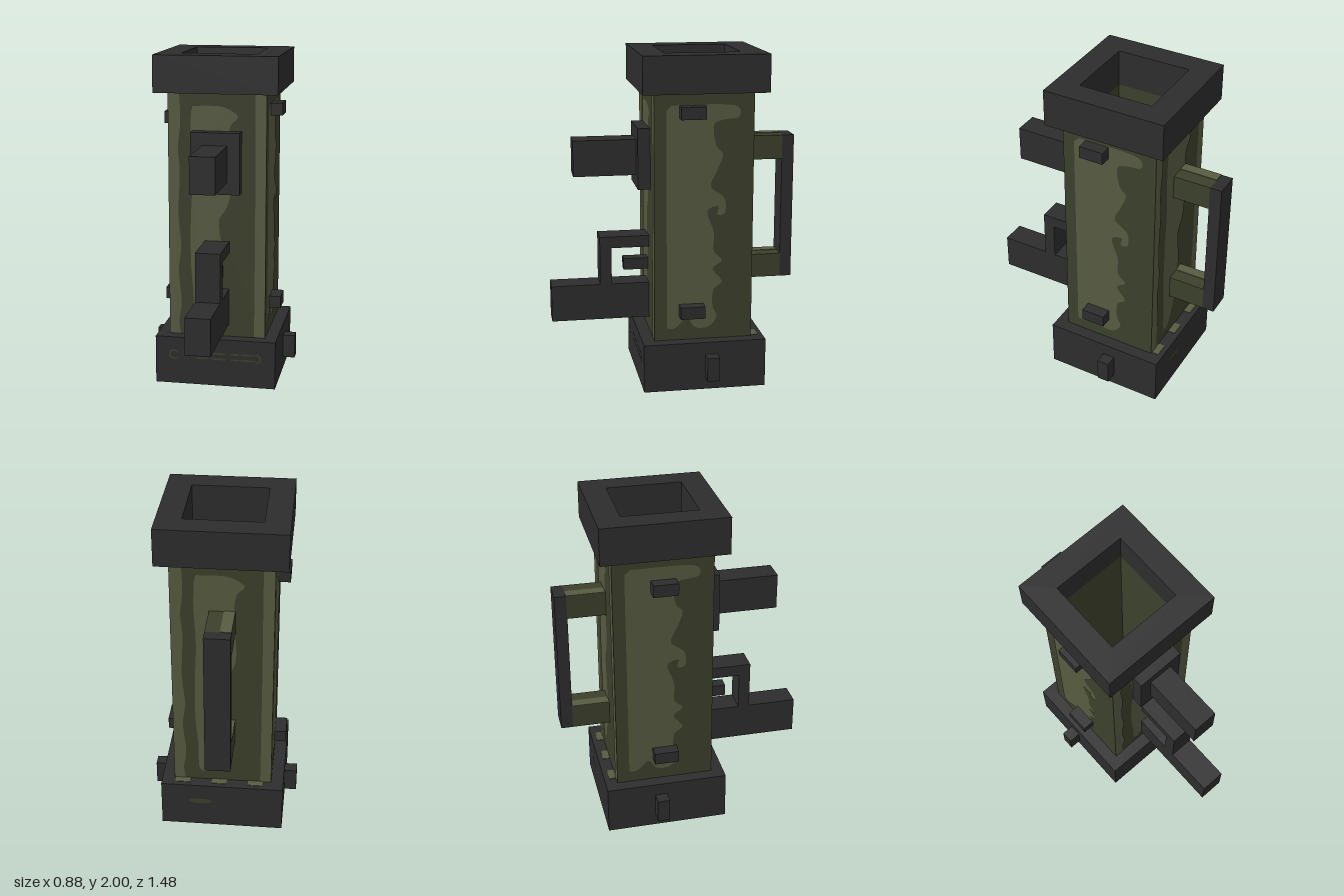
import * as THREE from 'three';

const mat = (name, color) => Object.assign(new THREE.MeshStandardMaterial({ color }), { name });

export function createModel() {
  const black = mat('black plastic', 0x2d2d2d);
  const olive = mat('dark olive', 0x3c402b);
  const light = mat('light olive', 0x575b41);
  const model = new THREE.Group();
  const CZ = -0.147; // centre of the tube in z

  const add = (name, geometry, material, parent = model) => {
    const mesh = new THREE.Mesh(geometry, material);
    mesh.name = name;
    parent.add(mesh);
    return mesh;
  };
  const box = (name, material, x0, x1, y0, y1, z0, z1) =>
    add(name, new THREE.BoxGeometry(x1 - x0, y1 - y0, z1 - z0), material)
      .position.set((x0 + x1) / 2, (y0 + y1) / 2, (z0 + z1) / 2);

  // Square frame standing on y0, open through the middle
  const square = (path, r) => path.moveTo(-r, -r).lineTo(r, -r).lineTo(r, r).lineTo(-r, r).closePath();
  const frame = (name, material, r, y0, y1) => {
    const shape = square(new THREE.Shape(), r);
    shape.holes.push(square(new THREE.Path(), 0.223));
    const geometry = new THREE.ExtrudeGeometry(shape, { depth: y1 - y0, bevelEnabled: false });
    geometry.rotateX(-Math.PI / 2);
    add(name, geometry, material).position.set(0, y0, CZ);
  };
  frame('bottomCollar', black, 0.368, 0, 0.295);
  frame('body', olive, 0.294, 0.295, 1.78);
  frame('topCollar', black, 0.368, 1.78, 2);

  // Flat patch: straight corners first, then a wavy edge
  const patch = (name, corners, wave, material, parent) => {
    const shape = new THREE.Shape();
    corners.forEach(([x, y], i) => (i ? shape.lineTo(x, y) : shape.moveTo(x, y)));
    shape.splineThru(wave.map(([x, y]) => new THREE.Vector2(x, y)));
    return add(name, new THREE.ShapeGeometry(shape, 6), material, parent);
  };

  // Camouflage for the broad and side faces, turned half round for the opposite ones
  const frontWave = [[0.02, 1.7], [0.11, 1.66], [0.12, 1.63], [0.075, 1.57], [0.07, 1.4],
    [0.08, 1.2], [0.06, 1.1], [0.015, 1.03], [0.015, 0.95], [0.035, 0.8], [0, 0.6],
    [-0.02, 0.5], [-0.085, 0.37], [-0.14, 0.38], [-0.145, 0.55], [-0.16, 0.75],
    [-0.16, 1.0], [-0.15, 1.25], [-0.16, 1.5], [-0.155, 1.66]];
  const leftStripWave = [[-0.225, 1.78], [-0.22, 1.6], [-0.235, 1.45], [-0.225, 1.3], [-0.235, 1.05],
    [-0.22, 0.85], [-0.235, 0.7], [-0.22, 0.5], [-0.235, 0.38], [-0.225, 0.297]];
  const sideWave = [[0.1, 1.71], [0.2, 1.69], [0.2, 1.635], [0.11, 1.62], [0.055, 1.59],
    [0.07, 1.47], [0.11, 1.42], [0.08, 1.33], [0.04, 1.23], [0.12, 1.16], [0.125, 1.07],
    [0.08, 1.06], [0.085, 1.11], [0.02, 1.08], [0.06, 0.95], [0.06, 0.84], [0.11, 0.78],
    [0.055, 0.73], [0.11, 0.65], [0.06, 0.6], [0.055, 0.5], [0.08, 0.43], [0.03, 0.37],
    [-0.05, 0.37], [-0.1, 0.43], [-0.17, 0.37], [-0.22, 0.37]];
  for (const turn of [0, 1]) {
    const pair = new THREE.Group();
    pair.name = turn ? 'rearCamouflage' : 'frontCamouflage';
    pair.position.z = CZ;
    pair.rotation.y = turn * Math.PI;
    model.add(pair);
    const broad = new THREE.Group();
    broad.name = 'broadFacePatches';
    broad.position.z = 0.297;
    const side = new THREE.Group();
    side.name = 'sideFacePatches';
    side.position.x = 0.297;
    side.rotation.y = Math.PI / 2;
    pair.add(broad, side);
    patch('mainPatch', [[-0.145, 1.7]], frontWave, light, broad);
    patch('edgeStrip', [[-0.294, 0.297], [-0.294, 1.78], [-0.225, 1.78]], leftStripWave.slice(1), light, broad);
    patch('farEdgeStrip', [[0.228, 0.297], [0.294, 0.297], [0.294, 1.78], [0.228, 1.78]], [[0.23, 1.0], [0.228, 0.297]], light, broad);
    patch('sidePatch', [[-0.22, 0.37], [-0.222, 1.68], [-0.19, 1.71]], sideWave, light, side);
  }

  // Small paint marks on the bottom collar
  const oval = (x, y, z, rx, ry, back) => {
    const mark = add('paintMark', new THREE.CircleGeometry(1, 16), olive);
    mark.scale.set(rx, ry, 1);
    mark.position.set(x, y, z);
    if (back) mark.rotation.y = Math.PI;
  };
  for (const [x, rx] of [[-0.08, 0.04], [0.02, 0.05], [0.12, 0.03]]) {
    oval(x, 0.205, 0.223, rx, 0.006);
    oval(x, 0.17, 0.223, rx, 0.006);
  }
  const ring = (x, start, length) => {
    const mark = add('paintHook', new THREE.RingGeometry(0.022, 0.032, 16, 1, start, length), olive);
    mark.position.set(x, 0.185, 0.223);
  };
  ring(-0.255, 0.6, 5);
  ring(0.25, -1.6, 3.2);
  oval(0.2, 0.205, 0.223, 0.05, 0.006);
  oval(0.2, 0.17, 0.223, 0.05, 0.006);
  oval(0.13, 0.18, -0.518, 0.07, 0.018, true);
  for (const x of [-0.2, 0.02, 0.24]) box('ledgePaint', light, x - 0.045, x + 0.045, 0.294, 0.298, -0.485, -0.44);

  // Sight: mounting plate and block
  box('sightPlate', black, -0.147, 0.147, 1.19, 1.555, 0.147, 0.221);
  box('sightBlock', black, -0.074, 0.074, 1.265, 1.48, 0.221, 0.595);

  // Grip with trigger and guard
  box('grip', black, -0.074, 0.074, 0.375, 0.595, 0.147, 0.74);
  box('guardPost', black, -0.074, 0.074, 0.595, 0.82, 0.375, 0.445);
  box('guardBar', black, -0.074, 0.074, 0.82, 0.89, 0.147, 0.445);
  box('trigger', black, -0.037, 0.037, 0.67, 0.74, 0.147, 0.297);

  // Carrying handle on the back
  for (const y of [0.595, 1.335]) {
    box('handleArm', olive, -0.074, 0.074, y, y + 0.145, -0.67, -0.441);
    box('handleArmPaint', light, -0.074, -0.01, y + 0.144, y + 0.148, -0.67, -0.441);
  }
  box('handleBar', black, -0.074, 0.074, 0.595, 1.48, -0.74, -0.668);

  // Strap studs on the sides and lugs on the bottom collar
  for (const y of [0.445, 1.635]) box('leftStud', black, 0.294, 0.368, y, y + 0.073, -0.147, 0);
  for (const y of [0.445, 1.56]) box('rightStud', black, -0.368, -0.294, y, y + 0.073, -0.221, -0.074);
  for (const s of [-1, 1]) {
    const x = s * 0.405;
    box('collarLug', black, x - 0.037, x + 0.037, 0.075, 0.22, -0.222, -0.148);
  }
  return model;
}
